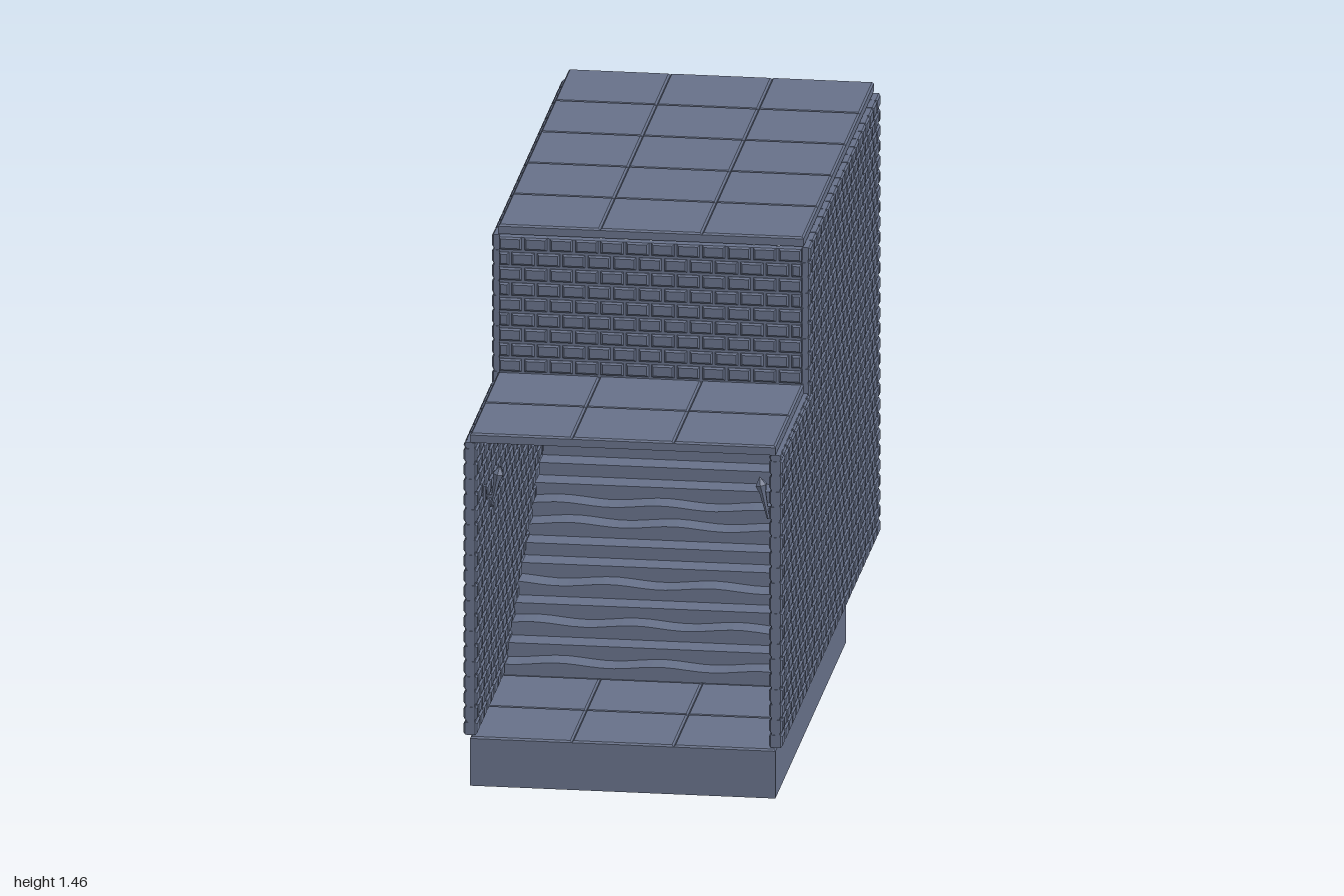
import * as THREE from 'three';
import { mergeGeometries } from 'three/addons/utils/BufferGeometryUtils.js';

const T = 2 / 7;                 // tile size
const HALF = 1.5 * T;            // half width of the passage
const FLOOR = T / 2;             // floor slab thickness
const LOW = 1.0, HIGH = 1.43;    // wall heights
const ROWS = 29, ROW = (HIGH - FLOOR) / ROWS;
const BRICK = T / 4, THICK = 0.038, GAP = 0.008;

const stone = new THREE.MeshStandardMaterial({ color: 0x667088 });
stone.name = 'blue grey stone';

function add(parent, name, geometry) {
  const mesh = new THREE.Mesh(geometry, stone);
  mesh.name = name;
  parent.add(mesh);
  return mesh;
}

// Square slab with a small chamfer around its top
function tile(h) {
  const g = new THREE.BoxGeometry(T, h, T, 1, 2, 1);
  const p = g.attributes.position, b = 0.005;
  for (let i = 0; i < p.count; i++) {
    const y = p.getY(i);
    if (Math.abs(y) < 1e-6) p.setY(i, h / 2 - b);
    else if (y > 0) {
      p.setX(i, p.getX(i) - Math.sign(p.getX(i)) * b);
      p.setZ(i, p.getZ(i) - Math.sign(p.getZ(i)) * b);
    }
  }
  const flat = g.toNonIndexed();
  flat.computeVertexNormals();
  return flat;
}

// Three tiles wide, from zBack forward by n tiles
function tileField(y0, h, zBack, n) {
  const list = [];
  for (let i = -1; i <= 1; i++)
    for (let j = 0; j < n; j++)
      list.push(tile(h).translate(i * T, y0 + h / 2, zBack + (j + 0.5) * T));
  return mergeGeometries(list);
}

// Bevelled brick lying along x, thickness along z
function brick(x0, x1, y0, y1) {
  const b = 0.005, g = GAP / 2 + b;
  const w = Math.max(x1 - x0 - 2 * g, 0.002) / 2, h = Math.max(y1 - y0 - 2 * g, 0.002) / 2;
  const s = new THREE.Shape([[-w, -h], [w, -h], [w, h], [-w, h]].map(q => new THREE.Vector2(...q)));
  const geo = new THREE.ExtrudeGeometry(s, {
    depth: THICK - 2 * b, bevelEnabled: true, bevelSize: b, bevelThickness: b, bevelSegments: 1,
  });
  return geo.translate((x0 + x1) / 2, (y0 + y1) / 2, b - THICK / 2);
}

// One course of bricks, every other course shifted by half a brick
function course(list, x0, x1, y0, y1, odd) {
  let a = x0;
  let end = odd ? x0 + BRICK / 2 : x0 + BRICK;
  while (a < x1 - 0.005) {
    const e = Math.min(end, x1);
    list.push(brick(a, e, y0, y1));
    a = e;
    end = a + BRICK;
  }
}

// Side wall in its own plane: x runs from the back (-1) to the front (1)
function sideWall() {
  const list = [];
  for (let i = 0; i < ROWS; i++) {
    const y = FLOOR + i * ROW, low = y + ROW <= LOW + 0.001;
    course(list, -1, low ? 1 : HALF, y, y + ROW, i % 2);
    if (!low && y < LOW) course(list, HALF, 1, y, LOW, i % 2);
  }
  return mergeGeometries(list);
}

function mortarCore() {
  const e = 0.005, t = THICK - 0.014;
  const s = new THREE.Shape([
    [-1 + e, FLOOR + e], [1 - e, FLOOR + e], [1 - e, LOW], [HALF - e, LOW],
    [HALF - e, HIGH - e], [-1 + e, HIGH - e],
  ].map(q => new THREE.Vector2(...q)));
  return new THREE.ExtrudeGeometry(s, { depth: t, bevelEnabled: false }).translate(0, 0, -t / 2);
}

// Step with a straight or worn, wavy top edge
function step(k) {
  const rise = (2 * T - FLOOR) / 12, run = 3 * T / 12;
  const wavy = [1, 3, 5, 8, 9].includes(k);
  const w = HALF - 0.015, y0 = FLOOR + (k - 1) * rise - (k > 1 ? 0.01 : 0);
  const s = new THREE.Shape();
  s.moveTo(-w, y0);
  s.lineTo(w, y0);
  for (let i = 0; i <= 24; i++) {
    const x = w - (2 * w * i) / 24;
    s.lineTo(x, FLOOR + k * rise + (wavy ? 0.005 * Math.sin((x / T) * Math.PI * 2 + k) : 0));
  }
  const front = HALF - (k - 1) * run;
  return new THREE.ExtrudeGeometry(s, { depth: front + HALF, bevelEnabled: false }).translate(0, 0, -HALF);
}

// Leaning wall torch on the -x wall, with a bracket
function torch() {
  const g = new THREE.Group();
  g.name = 'torch';
  const lean = new THREE.Group();
  lean.name = 'torchStick';
  add(lean, 'torchHandle', new THREE.CylinderGeometry(0.011, 0.004, 0.09, 6).toNonIndexed());
  add(lean, 'torchCollar', new THREE.CylinderGeometry(0.017, 0.012, 0.018, 6).toNonIndexed()).position.y = 0.046;
  add(lean, 'torchTip', new THREE.ConeGeometry(0.017, 0.024, 6).toNonIndexed()).position.y = 0.067;
  lean.traverse(o => { if (o.isMesh) o.geometry.computeVertexNormals(); });
  lean.rotation.z = -0.2;
  lean.position.set(0.027, 0, 0);
  g.add(lean);
  add(g, 'torchBracket', new THREE.BoxGeometry(0.03, 0.007, 0.008)).position.set(0.012, -0.012, 0);
  add(g, 'torchWallPlate', new THREE.BoxGeometry(0.008, 0.045, 0.018)).position.set(0, -0.005, 0);
  return g;
}

export function createModel() {
  const model = new THREE.Group();
  model.name = 'stairPassage';

  // Floors and roofs
  add(model, 'lowerFloor', tileField(0, FLOOR, -HALF, 5));
  add(model, 'upperFloor', tileField(2 * T - FLOOR, FLOOR, -1, 2));
  add(model, 'lowerRoof', tileField(LOW + 0.002, 0.027, HALF, 2));
  add(model, 'upperRoof', tileField(HIGH, 0.027, -1, 5));

  // Stairs
  const stairs = new THREE.Group();
  stairs.name = 'stairs';
  for (let k = 1; k <= 12; k++) add(stairs, 'step', step(k));
  model.add(stairs);

  // Side walls
  const bricks = sideWall(), core = mortarCore();
  for (const side of [-1, 1]) {
    const wall = new THREE.Group();
    wall.name = side > 0 ? 'leftWall' : 'rightWall';
    add(wall, 'wallBricks', bricks);
    add(wall, 'wallMortar', core);
    wall.rotation.y = -Math.PI / 2;
    wall.position.x = side * HALF;
    model.add(wall);
  }

  // Front wall above the lower roof
  const list = [];
  for (let i = 19; i < ROWS; i++) {
    const y = FLOOR + i * ROW;
    course(list, -HALF, HALF, Math.max(y, LOW), y + ROW, i % 2);
  }
  const front = new THREE.Group();
  front.name = 'frontWall';
  add(front, 'wallBricks', mergeGeometries(list));
  add(front, 'wallMortar', new THREE.BoxGeometry(2 * HALF - 0.01, HIGH - LOW - 0.005, THICK - 0.014))
    .position.y = (HIGH + LOW) / 2 - 0.002;
  front.position.z = HALF;
  model.add(front);

  // Two pairs of torches
  for (const [y, z] of [[0.815, 3 * T], [0.815 + HALF, -3 * T]])
    for (const side of [-1, 1]) {
      const t = torch();
      t.position.set(side * 0.407, y, z);
      if (side > 0) t.rotation.y = Math.PI;
      model.add(t);
    }
  return model;
}
